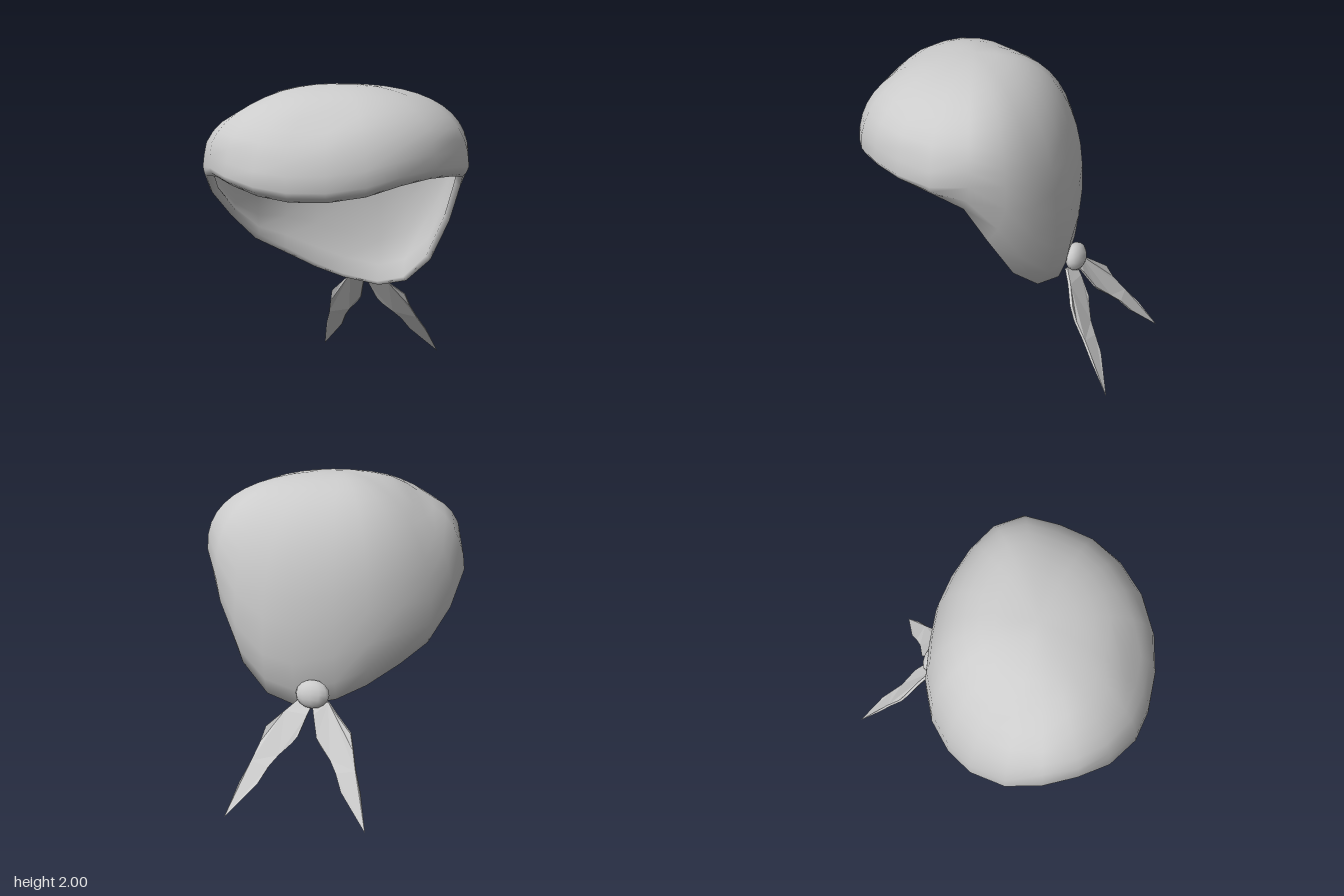
import * as THREE from 'three';

// Columns round the head, from the front towards +x: [outline x, outline z, rim x, rim y, rim z]
const COLUMNS = [
  [-0.07, 0.98, -0.07, 1.31, 0.92], [0.16, 0.94, 0.15, 1.31, 0.88], [0.38, 0.85, 0.36, 1.34, 0.79],
  [0.57, 0.70, 0.54, 1.40, 0.66], [0.72, 0.50, 0.67, 1.43, 0.48], [0.81, 0.28, 0.76, 1.43, 0.27],
  [0.83, 0.04, 0.79, 1.41, 0.05], [0.78, -0.20, 0.74, 1.33, -0.14], [0.66, -0.38, 0.65, 1.09, -0.25],
  [0.50, -0.49, 0.50, 0.80, -0.35], [0.30, -0.55, 0.31, 0.63, -0.43], [0.10, -0.56, 0.10, 0.58, -0.48],
  [-0.15, -0.50, -0.15, 0.63, -0.44], [-0.35, -0.43, -0.33, 0.71, -0.35], [-0.55, -0.30, -0.52, 0.83, -0.22],
  [-0.70, -0.12, -0.67, 0.94, -0.06], [-0.80, 0.08, -0.77, 1.12, 0.13], [-0.84, 0.33, -0.81, 1.29, 0.34],
  [-0.79, 0.55, -0.76, 1.42, 0.54], [-0.67, 0.74, -0.63, 1.43, 0.69], [-0.50, 0.88, -0.47, 1.39, 0.82],
  [-0.28, 0.97, -0.27, 1.34, 0.91],
];
const APEX = new THREE.Vector3(0, 2, 0.2);
const CENTRE = new THREE.Vector3(0, 1.3, 0.2);

// Small dents and creases in the cloth: centre, radii, depth
const DENTS = [
  { at: [-0.53, 1.82, 0.37], size: [0.13, 0.14, 0.13], depth: 0.05 },
  { at: [0.07, 1.76, 0.78], size: [0.12, 0.09, 0.15], depth: 0.025 },
  { at: [-0.62, 1.52, 0.72], size: [0.28, 0.06, 0.3], depth: 0.03 },
  { at: [0.80, 1.58, 0.35], size: [0.15, 0.06, 0.2], depth: 0.02 },
];

function dent(p) {
  const q = p.clone();
  for (const { at, size, depth } of DENTS) {
    const d = Math.hypot(...at.map((c, k) => (p.getComponent(k) - c) / size[k]));
    if (d < 2) q.addScaledVector(CENTRE.clone().sub(p).normalize(), depth * Math.exp(-d * d));
  }
  return q;
}

// One column of the outer cloth: rim, bulge, then a rounded rise to the crown
function outerColumn([ox, oz, rx, ry, rz]) {
  const back = THREE.MathUtils.clamp((0.05 - oz) / 0.5, 0, 1);
  const oy = ry + 0.06 + 0.24 * back;
  const e = 2.05 + 0.42 * back + 0.25 * Math.max(0, ox);
  const points = [];
  for (const t of [0, 0.4]) {
    const s = Math.sin(t * Math.PI / 2);
    points.push(new THREE.Vector3(rx + (ox - rx) * s, ry + (oy - ry) * t, rz + (oz - rz) * s));
  }
  const steps = 11;
  for (let i = 0; i <= steps; i++) {
    const a = i / steps * Math.PI / 2;
    const out = i === steps ? 0 : Math.cos(a) ** (2 / e);
    const up = Math.sin(a) ** (2 / e);
    points.push(new THREE.Vector3(
      APEX.x + (ox - APEX.x) * out, oy + (APEX.y - oy) * up, APEX.z + (oz - APEX.z) * out));
  }
  return points;
}

// Lining column, from its crown down to the rim
function innerColumn(outer) {
  const last = outer.length - 1;
  return outer.map((p, i) => new THREE.Vector3(
    p.x * 0.95, p.y + 0.03 - 0.09 * i / last, APEX.z + (p.z - APEX.z) * 0.95)).reverse();
}

// Cloth with thickness: lining, rim and outside in one skin
function clothGeometry() {
  const columns = COLUMNS.map((c) => {
    const outer = outerColumn(c);
    return [...innerColumn(outer), ...outer.map(dent)];
  });
  const n = columns.length, rows = columns[0].length;
  const positions = [], index = [];
  // the two crown ends are single shared points
  const id = (r, c) => (r === 0 ? 0 : r === rows - 1 ? 1 : 2 + (r - 1) * n + c % n);
  positions.push(...columns[0][0].toArray(), ...APEX.toArray());
  for (let r = 1; r < rows - 1; r++) for (const col of columns) positions.push(...col[r].toArray());
  for (let r = 0; r < rows - 1; r++) {
    for (let c = 0; c < n; c++) {
      const a = id(r, c), b = id(r, c + 1), d = id(r + 1, c), e = id(r + 1, c + 1);
      if (r > 0) index.push(a, b, e);
      if (r < rows - 2) index.push(a, e, d);
      else index[index.length - 1] = 1;
    }
  }
  const g = new THREE.BufferGeometry();
  g.setAttribute('position', new THREE.Float32BufferAttribute(positions, 3));
  g.setIndex(index);
  g.computeVertexNormals();
  return g;
}

// Thin pointed tail, leaning backwards as it hangs
function tailGeometry(side) {
  const outline = [[0, 0.62], [0.02, 0.57], [0.06, 0.45], [0.09, 0.41], [0.165, 0.34], [0.215, 0.28],
    [0.265, 0.19], [0.445, 0], [0.385, 0.19], [0.335, 0.3], [0.3, 0.4], [0.275, 0.49], [0.17, 0.58], [0.1, 0.64]];
  const shape = new THREE.Shape(outline.map(([x, y]) => new THREE.Vector2(side * x, y)));
  const g = new THREE.ExtrudeGeometry(shape, { depth: 0.02, bevelEnabled: false });
  const p = g.attributes.position;
  for (let i = 0; i < p.count; i++) {
    const y = p.getY(i);
    const thickness = p.getZ(i) * Math.min(1, y / 0.2);
    p.setZ(i, thickness - 0.57 - 0.7 * (0.6 - y) + 0.012 * Math.sin(y * 21));
  }
  g.computeVertexNormals();
  return g;
}

export function createModel() {
  const group = new THREE.Group();
  const material = new THREE.MeshStandardMaterial({ color: 0xcccccc, side: THREE.DoubleSide });
  const add = (name, geometry) => {
    const mesh = new THREE.Mesh(geometry, material);
    mesh.name = name;
    group.add(mesh);
    return mesh;
  };

  add('headCloth', clothGeometry());

  // Knot at the nape
  const knot = add('knot', new THREE.SphereGeometry(1, 12, 8));
  knot.scale.set(0.11, 0.09, 0.06);
  knot.position.set(-0.025, 0.69, -0.545);
  knot.rotation.x = 0.25;

  // Two hanging tails, mirrored about the knot
  for (const side of [1, -1]) {
    add(side > 0 ? 'leftTail' : 'rightTail', tailGeometry(side)).position.x = -0.025;
  }
  return group;
}
